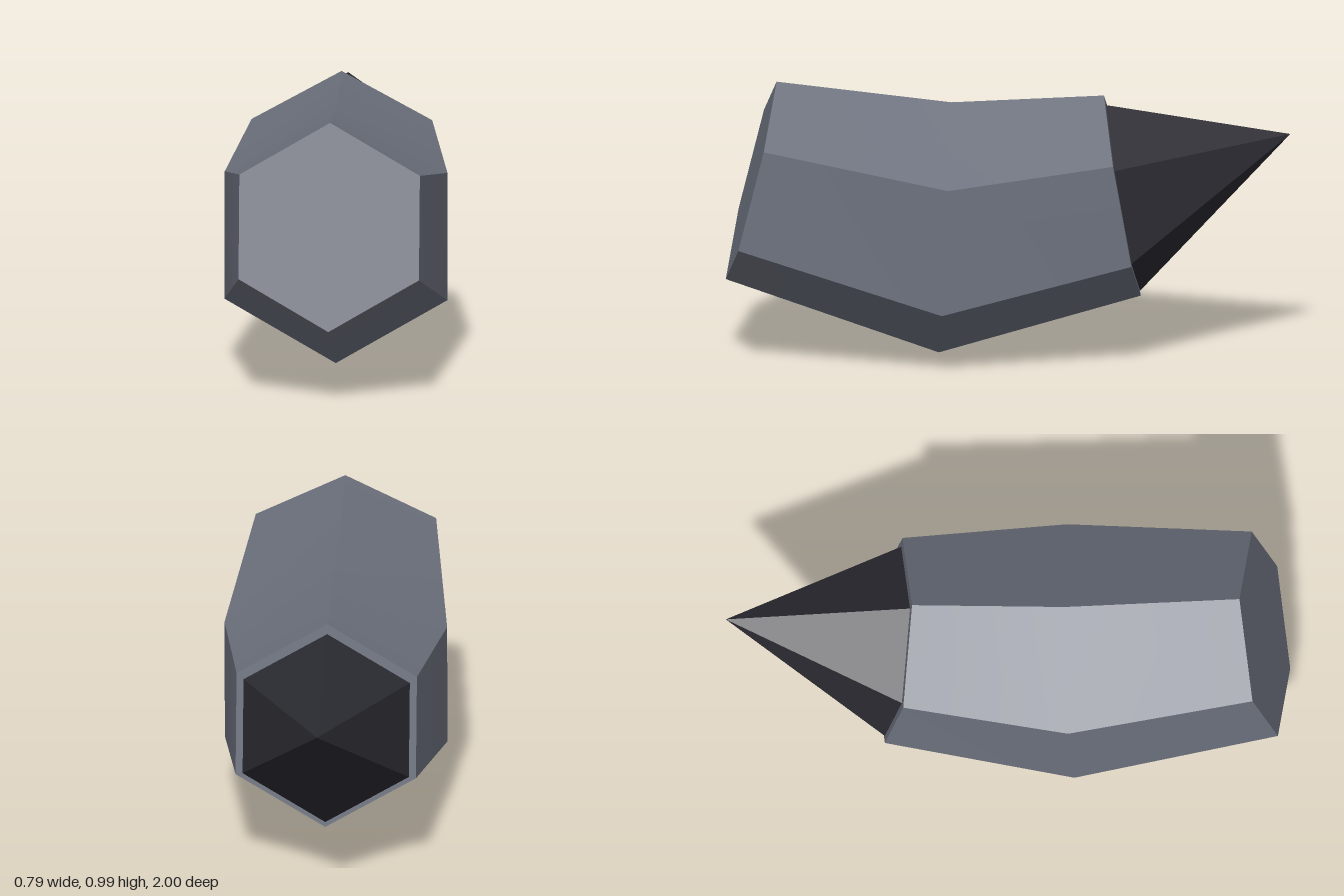
import * as THREE from 'three';

const stone = new THREE.MeshStandardMaterial({ name: 'slate grey', color: 0x6b707c });
const spike = new THREE.MeshStandardMaterial({ name: 'dark charcoal', color: 0x2a2a31 });

// Hexagon ring, point up, leaning in z from its top point to its bottom point.
// Corners run counter-clockwise as seen from the front.
function hexRing(halfWidth, topY, topZ, bottomY, bottomZ) {
  const corners = [[0, 0], [-1, 0.25], [-1, 0.75], [0, 1], [1, 0.75], [1, 0.25]];
  return corners.map(([side, t]) => new THREE.Vector3(
    side * halfWidth,
    THREE.MathUtils.lerp(topY, bottomY, t),
    THREE.MathUtils.lerp(topZ, bottomZ, t)
  ));
}

function meshFrom(name, points, index, material) {
  const geometry = new THREE.BufferGeometry().setFromPoints(points);
  geometry.setIndex(index);
  geometry.computeVertexNormals();
  const mesh = new THREE.Mesh(geometry, material);
  mesh.name = name;
  return mesh;
}

export function createModel() {
  const model = new THREE.Group();
  model.name = 'bentHexagonalClaw';

  const rings = [
    hexRing(0.32, 0.99, 0.82, 0.27, 1.0),
    hexRing(0.395, 0.915, 0.2, 0.003, 0.245),
    hexRing(0.32, 0.94, -0.34, 0.21, -0.47),
  ];

  // Six long sides: smooth along the bend, sharp between neighbours
  const body = new THREE.Group();
  body.name = 'body';
  for (let j = 0; j < 6; j++) {
    const k = (j + 1) % 6;
    const points = rings.flatMap((ring) => [ring[j], ring[k]]);
    const index = [];
    for (let r = 0; r < rings.length - 1; r++) {
      const a = r * 2;
      index.push(a, a + 2, a + 1, a + 1, a + 2, a + 3);
    }
    body.add(meshFrom('bodySide', points, index, stone));
  }

  // Flat end faces
  const fan = [0, 1, 2, 0, 2, 3, 0, 3, 4, 0, 4, 5];
  body.add(meshFrom('frontFace', rings[0], fan, stone));
  body.add(meshFrom('backFace', rings[2], [...fan].reverse(), stone));
  model.add(body);

  // Six-sided spike on the back face
  const tip = new THREE.Group();
  tip.name = 'spike';
  const base = hexRing(0.295, 0.905, -0.347, 0.228, -0.468);
  const apex = new THREE.Vector3(0, 0.8, -1);
  for (let j = 0; j < 6; j++) {
    tip.add(meshFrom('spikeSide', [base[j], apex, base[(j + 1) % 6]], [0, 1, 2], spike));
  }
  model.add(tip);

  return model;
}
